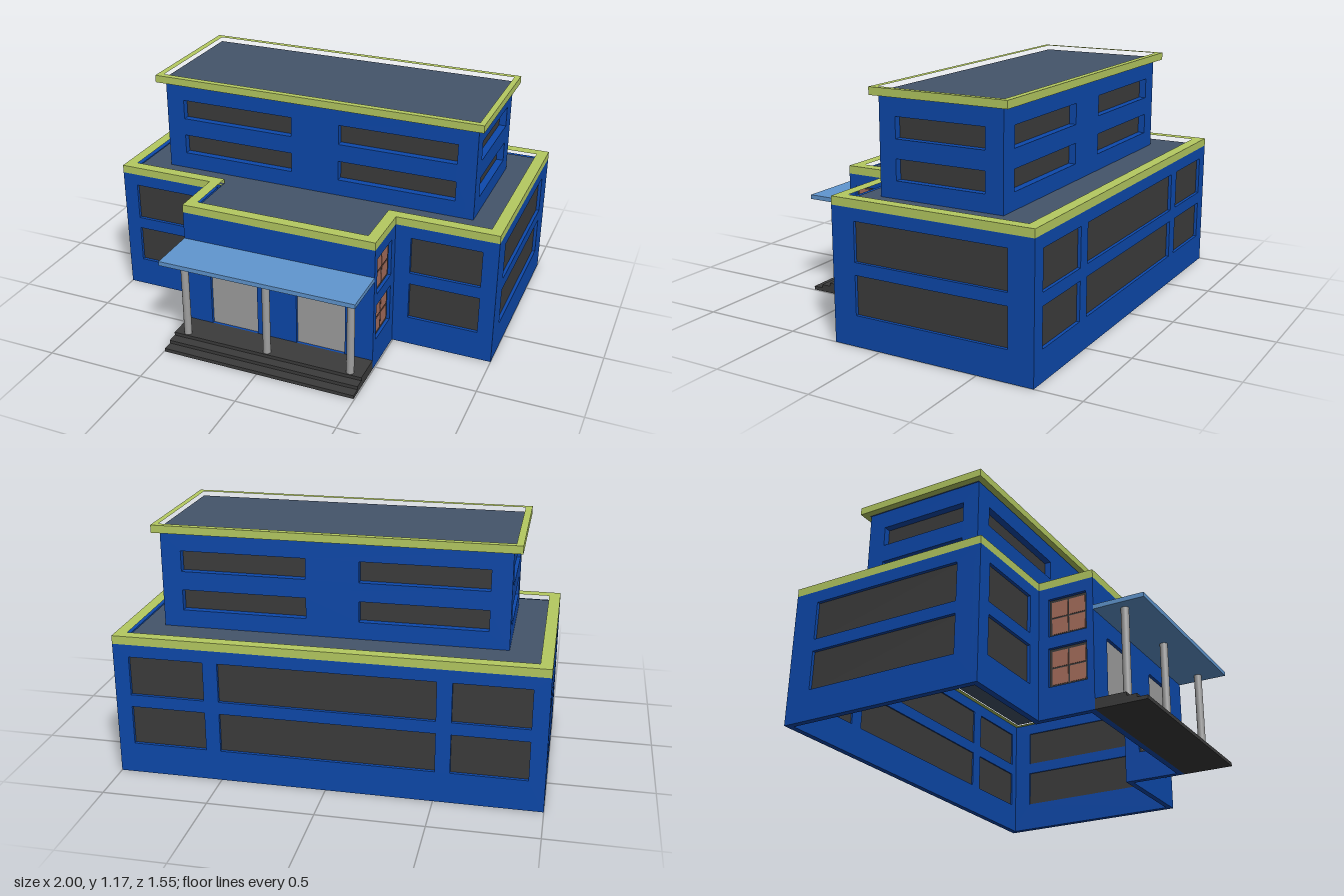
import * as THREE from 'three';

const mat = (name, color, extra = {}) => {
  const m = new THREE.MeshStandardMaterial({ color, ...extra });
  m.name = name;
  return m;
};

export function createModel() {
  const blue = mat('blue wall', 0x0d49ac);
  const lime = mat('lime trim', 0xb5ca61);
  const slate = mat('slate roof', 0x44546a);
  const dark = mat('dark glass', 0x3c3c3c);
  const grey = mat('grey metal', 0xa0a0a0);
  const sky = mat('light blue canopy', 0x6197d0);
  const copper = mat('copper pane', 0xa86f5d);

  const model = new THREE.Group();
  model.name = 'building';

  const add = (parent, name, geo, material, x = 0, y = 0, z = 0) => {
    const m = new THREE.Mesh(geo, material);
    m.name = name;
    m.position.set(x, y, z);
    parent.add(m);
    return m;
  };
  // Box given by its lower and upper limits
  const box = (parent, name, material, [x0, x1], [y0, y1], [z0, z1]) =>
    add(parent, name, new THREE.BoxGeometry(x1 - x0, y1 - y0, z1 - z0), material,
      (x0 + x1) / 2, (y0 + y1) / 2, (z0 + z1) / 2);

  const rectPath = (a, b, c, d) =>
    [[a, c], [b, c], [b, d], [a, d]].map(p => new THREE.Vector2(...p));
  const doorPath = (a, b, c, d, r = 0.02) => {
    const s = new THREE.Shape();
    s.moveTo(a, c).lineTo(b, c).lineTo(b, d - r);
    s.quadraticCurveTo(b, d, b - r, d).lineTo(a + r, d);
    s.quadraticCurveTo(a, d, a, d - r);
    return s.getPoints(5);
  };

  // Wall sides: turn about y, and sign from the world axis to the wall's own axis
  const sides = {
    front: { turn: 0, sign: 1, at: p => [0, 0, p] },
    back: { turn: Math.PI, sign: -1, at: p => [0, 0, p] },
    left: { turn: Math.PI / 2, sign: -1, at: p => [p, 0, 0] },
    right: { turn: -Math.PI / 2, sign: 1, at: p => [p, 0, 0] },
  };

  // Wall with cut openings; each opening is { span, rise, kind }
  const wall = (name, side, plane, span, rise, openings, thick = 0.03, recess = 0.016) => {
    const { turn, sign, at } = sides[side];
    const local = s => s.map(v => v * sign).sort((a, b) => a - b);
    const g = new THREE.Group();
    g.name = name;
    g.position.set(...at(plane));
    g.rotation.y = turn;
    model.add(g);
    const shape = new THREE.Shape(rectPath(...local(span), ...rise));
    for (const o of openings) {
      const [a, b] = local(o.span), [c, d] = o.rise;
      const path = o.kind === 'door' ? doorPath(a, b, c, d) : rectPath(a, b, c, d);
      shape.holes.push(new THREE.Path(path));
      if (o.kind === 'door') {
        const panel = new THREE.ExtrudeGeometry(new THREE.Shape(path), { depth: 0.006, bevelEnabled: false });
        add(g, 'door', panel, grey, 0, 0, -recess - 0.006);
        continue;
      }
      box(g, 'window', dark, [a, b], [c, d], [-recess - 0.006, -recess]);
      if (o.kind === 'paned') {
        // Four panes in a dark frame, on both faces
        const m = 0.013, bar = 0.004, u = (a + b) / 2, v = (c + d) / 2;
        for (const [p, q] of [[a + m, u - bar], [u + bar, b - m]])
          for (const [r, t] of [[c + m, v - bar], [v + bar, d - m]])
            box(g, 'windowPane', copper, [p, q], [r, t], [-recess - 0.008, -recess + 0.002]);
      }
    }
    const geo = new THREE.ExtrudeGeometry(shape, { depth: thick, bevelEnabled: false });
    add(g, 'wallPanel', geo, blue, 0, 0, -thick);
  };

  const stack = (rises, spans, kind) =>
    spans.flatMap(span => rises.map(rise => ({ span, rise, kind })));
  const lowRows = [[0.15, 0.34], [0.4, 0.59]];
  const highRows = [[0.75, 0.85], [0.94, 1.04]];
  const low = [0, 0.65], high = [0.66, 1.13];

  // Lower storeys, open underneath
  wall('backWall', 'back', -0.775, [-1, 1], low,
    stack(lowRows, [[0.57, 0.925], [-0.505, 0.5], [-0.925, -0.575]]));
  for (const [s, side] of [[1, 'left'], [-1, 'right']]) {
    wall(side + 'Wall', side, s, [-0.775, 0.245], low, stack(lowRows, [[-0.65, 0.125]]));
    wall(side + 'FrontWall', 'front', 0.245, [s * 0.495, s], low,
      stack(lowRows, [[s * 0.573, s * 0.923]]));
    wall(side + 'EntranceWall', side, s * 0.495, [0.215, 0.525], low,
      stack(lowRows, [[0.295, 0.49]], 'paned'));
  }
  wall('entranceWall', 'front', 0.525, [-0.495, 0.495], low,
    stack([[0.05, 0.4]], [[-0.36, -0.108], [0.1, 0.352]], 'door'));

  // Upper storeys
  const upperWindows = stack(highRows, [[-0.705, -0.11], [0.14, 0.735]]);
  wall('upperFrontWall', 'front', 0.095, [-0.8, 0.83], high, upperWindows, 0.045, 0.035);
  wall('upperBackWall', 'back', -0.535, [-0.8, 0.83], high, upperWindows, 0.045, 0.035);
  for (const [side, x] of [['left', 0.83], ['right', -0.8]])
    wall('upper' + side + 'Wall', side, x, [-0.535, 0.095], high,
      stack(highRows, [[-0.445, 0.01]]), 0.045, 0.035);

  // Flat outlines in plan (x, z), extruded upwards
  const plan = (name, material, outline, y, height, hole) => {
    const pts = o => o.map(([x, z]) => new THREE.Vector2(x, -z));
    const shape = new THREE.Shape(pts(outline));
    if (hole) shape.holes.push(new THREE.Path(pts(hole)));
    const geo = new THREE.ExtrudeGeometry(shape, { depth: height, bevelEnabled: false });
    add(model, name, geo.rotateX(-Math.PI / 2), material, 0, y, 0);
  };
  const tee = (x, back, front, wing, tip) =>
    [[-x, back], [x, back], [x, front], [wing, front], [wing, tip], [-wing, tip], [-wing, front], [-x, front]];
  const rect = (x0, x1, z0, z1) => [[x0, z0], [x1, z0], [x1, z1], [x0, z1]];

  const lowInner = tee(0.945, -0.72, 0.19, 0.44, 0.47);
  plan('lowerParapet', lime, tee(1, -0.775, 0.245, 0.495, 0.525), 0.65, 0.04, lowInner);
  plan('lowerRoof', slate, lowInner, 0.655, 0.012);
  const highInner = rect(-0.808, 0.832, -0.54, 0.097);
  plan('upperParapet', lime, rect(-0.84, 0.86, -0.57, 0.128), 1.13, 0.037, highInner);
  plan('upperRoof', slate, highInner, 1.13, 0.015);

  // Entrance steps, columns and canopy
  [[0, 0.018, 0.775], [0.018, 0.035, 0.725], [0.035, 0.052, 0.675]].forEach(([y0, y1, z]) =>
    box(model, 'step', dark, [-0.495, 0.495], [y0, y1], [0.525, z]));
  for (const x of [-0.43, 0, 0.43])
    add(model, 'column', new THREE.CylinderGeometry(0.019, 0.019, 0.436, 24), grey, x, 0.269, 0.652);
  box(model, 'canopy', sky, [-0.495, 0.495], [0.486, 0.508], [0.525, 0.775]);

  return model;
}
